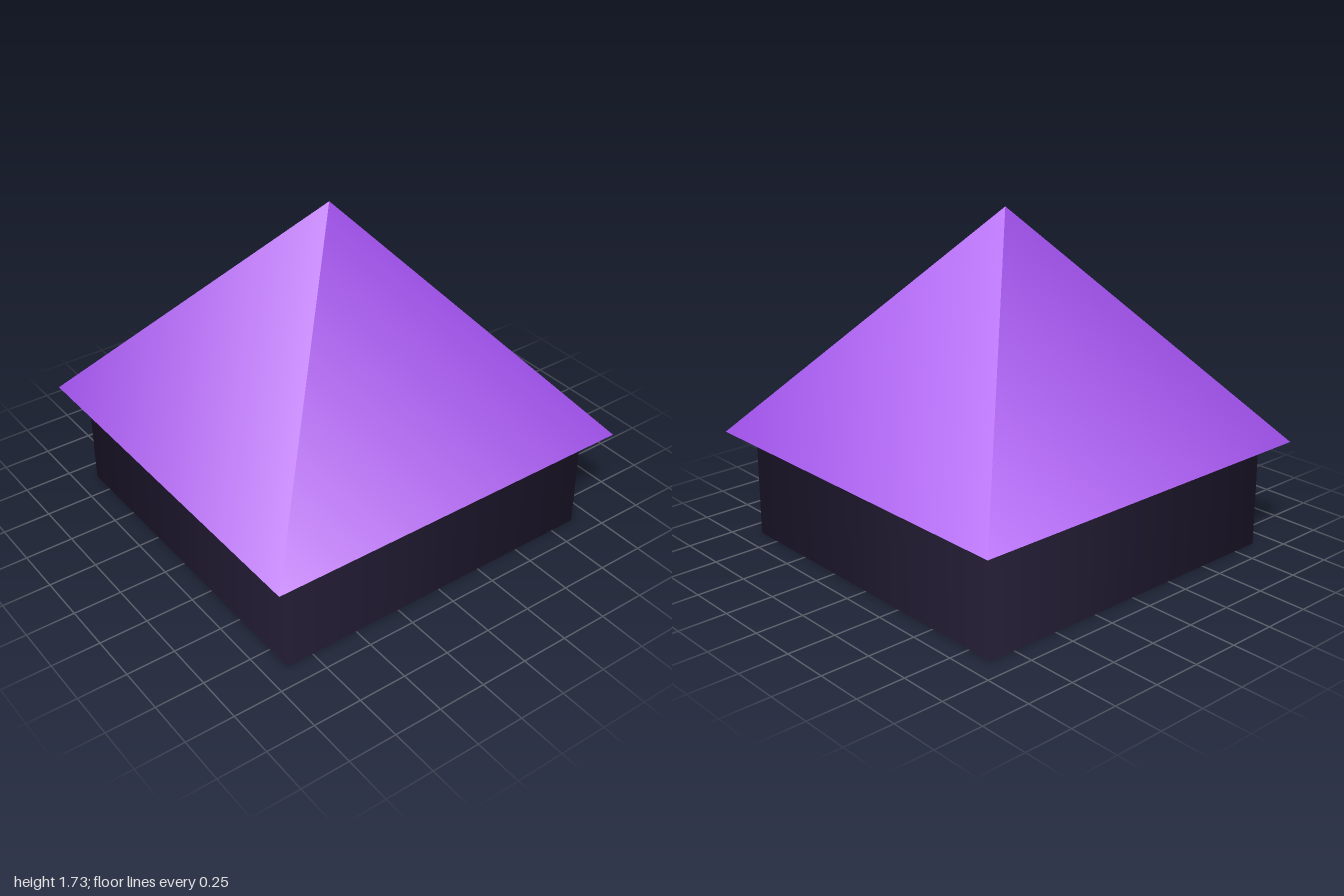
import * as THREE from 'three';

const BASE_HEIGHT = 0.555;
const ROOF_HEIGHT = 1.17;

// Circumradius of a square with the given half width
const cornerRadius = (halfWidth) => halfWidth * Math.SQRT2;

// Adds a four-sided solid, turned so its flat sides face the axes
function addPart(group, name, geometry, color, bottom, height) {
  geometry.rotateY(Math.PI / 4);
  const mesh = new THREE.Mesh(geometry, new THREE.MeshStandardMaterial({ color }));
  mesh.name = name;
  mesh.position.y = bottom + height / 2;
  group.add(mesh);
}

export function createModel() {
  const group = new THREE.Group();
  group.name = 'hut';

  // Square walls, smooth shaded round the corners
  const r = cornerRadius(0.89);
  addPart(group, 'walls', new THREE.CylinderGeometry(r, r, BASE_HEIGHT, 4), 0x231c35, 0, BASE_HEIGHT);

  // Pyramid roof with overhanging eaves
  addPart(group, 'roof', new THREE.ConeGeometry(cornerRadius(1), ROOF_HEIGHT, 4), 0xa855f7, BASE_HEIGHT, ROOF_HEIGHT);

  return group;
}
